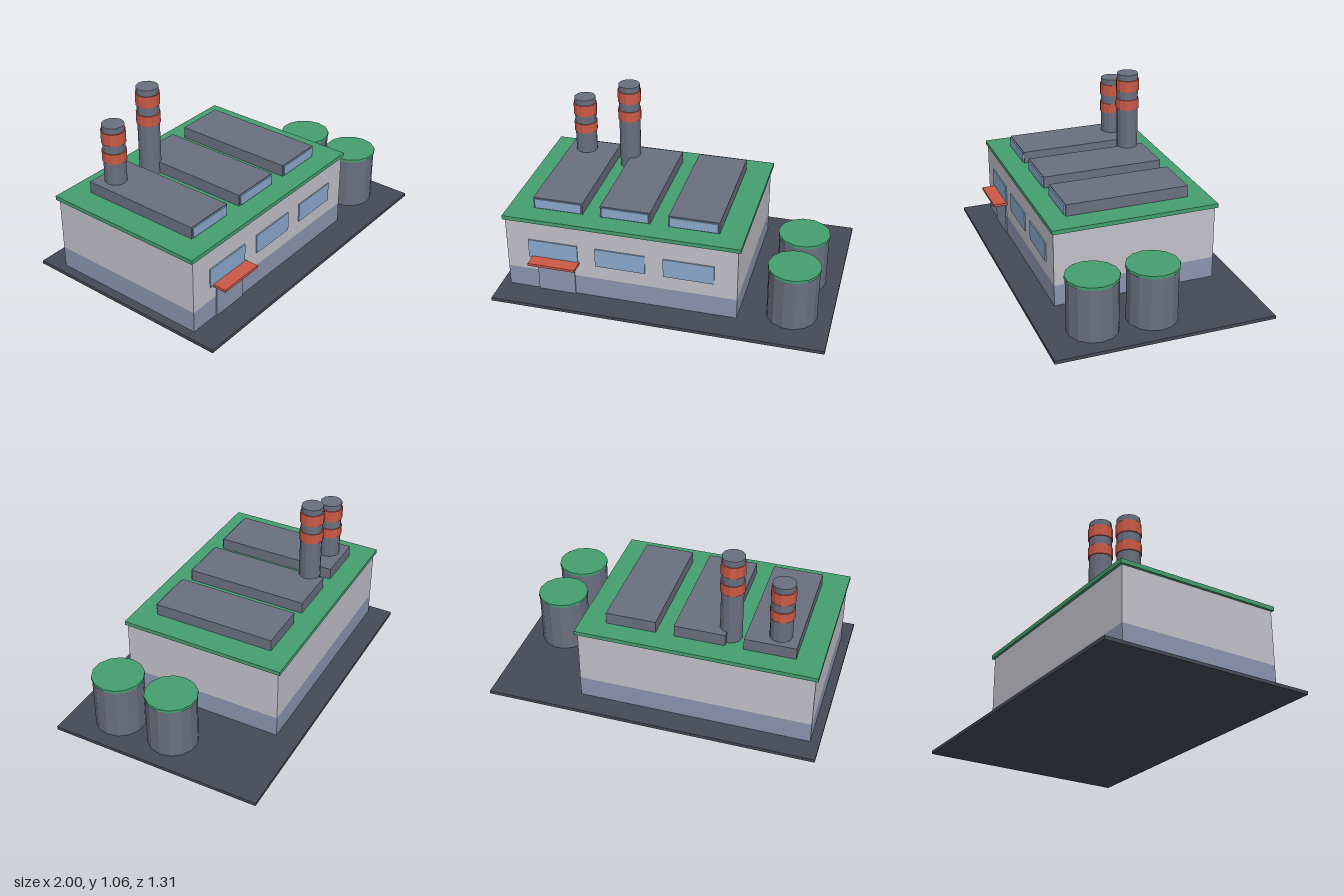
import * as THREE from 'three';

const mat = (name, color, flatShading = false) => {
  const m = new THREE.MeshStandardMaterial({ color });
  m.name = name;
  m.flatShading = flatShading;
  return m;
};

export function createModel() {
  const group = new THREE.Group();
  group.name = 'factory';
  const asphalt = mat('asphalt', 0x464a57);
  const wall = mat('wall', 0xc2c1c9);
  const plinth = mat('plinth', 0x8d94b0);
  const green = mat('greenRoof', 0x459f70, true);
  const metal = mat('greyMetal', 0x6b7080, true);
  const red = mat('red', 0xcb5a47, true);
  const glass = mat('glass', 0x8aa9cd);

  const add = (name, geometry, material) => {
    const mesh = new THREE.Mesh(geometry, material);
    mesh.name = name;
    group.add(mesh);
    return mesh;
  };

  // Box given by its extents
  const box = (name, material, [x0, x1], [y0, y1], [z0, z1]) =>
    add(name, new THREE.BoxGeometry(x1 - x0, y1 - y0, z1 - z0), material)
      .position.set((x0 + x1) / 2, (y0 + y1) / 2, (z0 + z1) / 2);

  // Upright faceted cylinder with corners on the x axis
  const drum = (name, material, x, z, r, y0, y1, sides) => {
    const g = new THREE.CylinderGeometry(r, r, y1 - y0, sides);
    g.rotateY(Math.PI / 2);
    add(name, g, material).position.set(x, (y0 + y1) / 2, z);
  };

  // Ground and main hall
  box('groundSlab', asphalt, [-1, 1], [0, 0.02], [-0.655, 0.655]);
  box('wallPlinth', plinth, [-0.945, 0.46], [0.02, 0.15], [-0.515, 0.48]);
  box('walls', wall, [-0.945, 0.46], [0.15, 0.48], [-0.515, 0.48]);
  box('roof', green, [-0.96, 0.475], [0.48, 0.505], [-0.53, 0.489]);

  // Rooflights with glazed fronts, and a window below each
  for (const x of [-0.655, -0.243, 0.171]) {
    box('rooflight', metal, [x - 0.152, x + 0.152], [0.505, 0.577], [-0.4, 0.357]);
    box('rooflightGlass', glass, [x - 0.143, x + 0.143], [0.511, 0.571], [0.357, 0.365]);
    box('window', glass, [x - 0.152, x + 0.152], [0.24, 0.36], [0.48, 0.487]);
  }

  // Entrance
  box('door', plinth, [-0.755, -0.525], [0.02, 0.226], [0.48, 0.488]);
  box('awning', red, [-0.785, -0.495], [0.233, 0.249], [0.48, 0.57]);

  // Chimneys with painted bands
  const chimneys = [
    { x: -0.695, top: 0.94, bands: [[0.715, 0.777], [0.831, 0.904]] },
    { x: -0.405, top: 1.06, bands: [[0.832, 0.897], [0.951, 1.023]] },
  ];
  for (const { x, top, bands } of chimneys) {
    drum('chimney', metal, x, -0.302, 0.067, 0.505, top, 12);
    for (const [y0, y1] of bands) drum('chimneyBand', red, x, -0.302, 0.073, y0, y1, 12);
  }

  // Storage tanks
  for (const z of [0.003, 0.358]) {
    drum('tank', metal, 0.764, z, 0.15, 0.02, 0.344, 14);
    drum('tankLid', green, 0.764, z, 0.155, 0.344, 0.362, 14);
  }
  return group;
}
